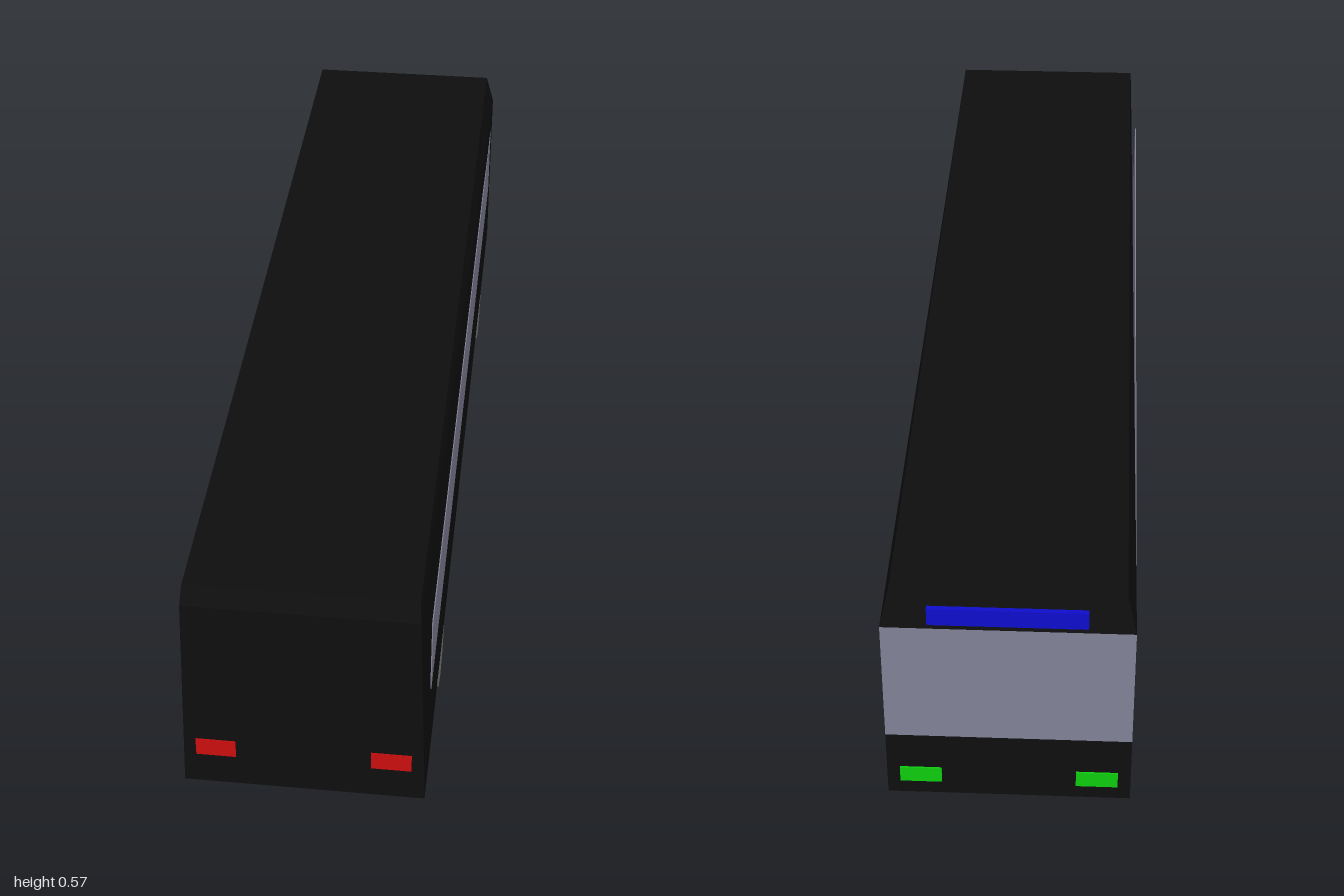
import * as THREE from 'three';

const paint = (name, color) => {
  const m = new THREE.MeshStandardMaterial({ color });
  m.name = name;
  return m;
};

// Flat faces from corner loops (counter-clockwise seen from outside), each fanned into triangles
function facets(loops) {
  const pos = [];
  for (const loop of loops)
    for (let i = 1; i < loop.length - 1; i++) pos.push(...loop[0], ...loop[i], ...loop[i + 1]);
  const g = new THREE.BufferGeometry();
  g.setAttribute('position', new THREE.Float32BufferAttribute(pos, 3));
  g.computeVertexNormals();
  return g;
}

const mirror = ([x, y, z]) => [-x, y, z];
const mirrorLoop = (loop) => loop.map(mirror).reverse();
// Quad spanning the width between two left-hand corners
const across = (a, b) => [a, b, mirror(b), mirror(a)];

export function createModel() {
  const bus = new THREE.Group();
  bus.name = 'bus';
  const black = paint('bodyBlack', 0x0e0e0e);
  const grey = paint('wheelGrey', 0x808080);
  const glass = paint('windowGlass', 0x808096);
  const red = paint('redLight', 0xcc0e0e);
  const green = paint('greenLight', 0x0ecc0e);
  const blue = paint('signBlue', 0x0e0ecc);

  const add = (name, geometry, material, x = 0, y = 0, z = 0) => {
    const mesh = new THREE.Mesh(geometry, material);
    mesh.name = name;
    mesh.position.set(x, y, z);
    bus.add(mesh);
    return mesh;
  };

  // Left-hand corners of the shell: windscreen end (-z) and red light end (+z)
  const w = 0.227, floor = 0.085;
  const a = [w, floor, -0.999];
  const sill = [w, 0.232, -0.994];
  const b = [w, 0.495, -0.985];
  const roofA = [0.21, 0.567, -0.965];
  const c = [w, floor, 0.999];
  const d = [0.213, 0.53, 0.999];
  const roofB = [0.21, 0.567, 0.982];

  // Body shell: sides, roof, sloped ends
  const side = [[a, sill, b, c], [b, d, c], [b, roofA, roofB, d]];
  add('body', facets([
    ...side, ...side.map(mirrorLoop),
    across(roofB, roofA),
    across(d, roofB), across(c, d),
    across(roofA, b), across(sill, a),
  ]), black);
  add('windscreen', facets([across(b, sill)]), glass);
  add('underside', facets([across(a, c)]), grey);

  // Long side windows, lights and wheels, mirrored left and right
  const tyre = new THREE.CylinderGeometry(0.085, 0.085, 0.058, 10).toNonIndexed();
  tyre.rotateZ(Math.PI / 2);
  tyre.rotateX(Math.PI / 2);
  tyre.computeVertexNormals();
  for (const s of [1, -1]) {
    const label = s > 0 ? 'left' : 'right';
    add(label + 'Window', new THREE.BoxGeometry(0.002, 0.168, 1.807), glass, s * 0.227, 0.365, 0.003);
    add(label + 'RedLight', new THREE.BoxGeometry(0.075, 0.041, 0.003), red, s * 0.164, 0.177, 0.9985);
    add(label + 'GreenLight', new THREE.BoxGeometry(0.078, 0.036, 0.006), green, s * 0.164, 0.133, -0.997);
    add(label + 'WheelA', tyre, grey, s * 0.1975, floor, 0.59);
    add(label + 'WheelB', tyre, grey, s * 0.1975, floor, -0.65);
  }

  // Destination panel standing on the slope above the windscreen
  add('signPanel', new THREE.BoxGeometry(0.286, 0.038, 0.009), blue, 0, 0.524, -0.982);

  return bus;
}
